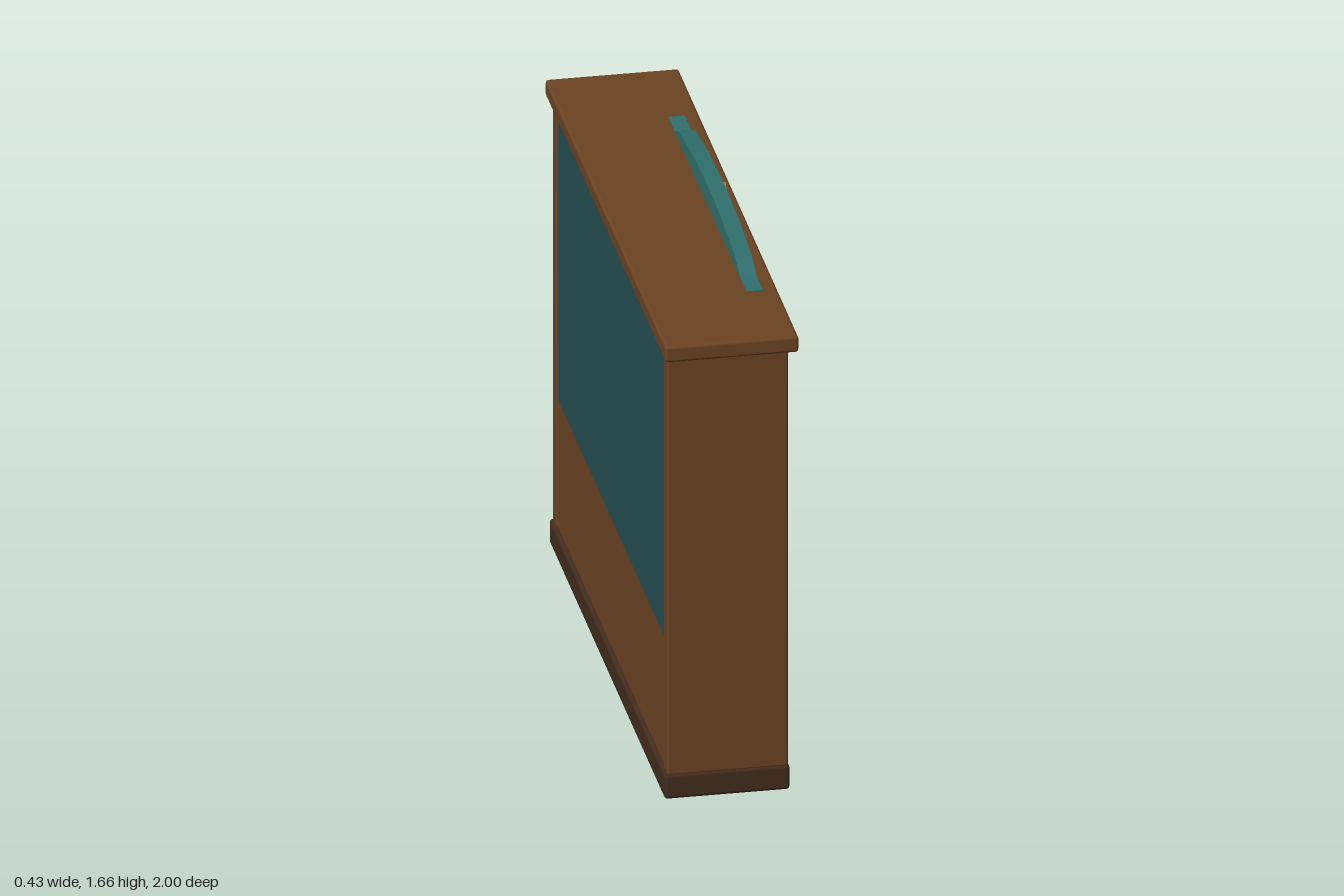
import * as THREE from 'three';
import { RoundedBoxGeometry } from 'three/addons/geometries/RoundedBoxGeometry.js';

const mat = (name, color) => {
  const m = new THREE.MeshStandardMaterial({ color });
  m.name = name;
  return m;
};

export function createModel() {
  const wood = mat('wood', 0x6b4423);
  const lightWood = mat('light wood', 0x8b5e34);
  const darkWood = mat('dark wood', 0x432c1d);
  const teal = mat('teal', 0x2f706d);
  const deepTeal = mat('deep teal', 0x244f52);
  const brass = mat('brass', 0xa9853b);

  const model = new THREE.Group();
  model.name = 'displayCabinet';

  const add = (name, geometry, material) => {
    const mesh = new THREE.Mesh(geometry, material);
    mesh.name = name;
    model.add(mesh);
    return mesh;
  };

  // Box given by its extents; a bevel radius above zero softens the edges
  const block = (name, material, [x0, x1], [y0, y1], [z0, z1], bevel = 0) => {
    const size = [x1 - x0, y1 - y0, z1 - z0];
    const geometry = bevel
      ? new RoundedBoxGeometry(...size, 2, bevel)
      : new THREE.BoxGeometry(...size);
    const mesh = add(name, geometry, material);
    mesh.position.set((x0 + x1) / 2, (y0 + y1) / 2, (z0 + z1) / 2);
    return mesh;
  };

  // Carcass: the open side faces +x
  block('plinth', darkWood, [-0.21, 0.19], [0, 0.085], [-0.96, 0.96], 0.012);
  block('topBoard', wood, [-0.215, 0.21], [1.53, 1.585], [-1, 1], 0.01);
  block('lowerCabinet', wood, [-0.195, 0.178], [0.08, 0.525], [-0.9, 0.9]);
  block('topRail', wood, [-0.195, 0.175], [1.49, 1.535], [-0.9, 0.9]);
  block('backPanel', deepTeal, [-0.195, -0.17], [0.52, 1.53], [-0.9, 0.9]);
  block('middleShelf', wood, [-0.175, 0.175], [1.025, 1.056], [-0.9, 0.9]);
  for (const s of [-1, 1]) {
    const z = s > 0 ? [0.893, 0.955] : [-0.955, -0.893];
    block('sidePanel', wood, [-0.2, 0.185], [0.08, 1.535], z, 0.008);
  }

  // Pale shelf surfaces
  for (const y of [0.525, 1.056])
    block('shelfSurface', lightWood, [-0.17, 0.174], [y, y + 0.005], [-0.893, 0.893]);

  // Doors and knobs
  for (const s of [-1, 1]) {
    const z = s > 0 ? [0.045, 0.845] : [-0.845, -0.045];
    block('door', lightWood, [0.165, 0.19], [0.13, 0.44], z, 0.008);
    block('doorKnob', brass, [0.185, 0.205], [0.27, 0.31],
      [s * 0.113 - 0.02, s * 0.113 + 0.02], 0.005);
  }

  // Tilted trays with a brass plate on the shelf edge below each one
  const trayRow = (shelfY, trayX, plateY, plateX, places) => {
    for (const z of places) {
      const tray = add('displayTray', new RoundedBoxGeometry(0.26, 0.042, 0.53, 2, 0.019), teal);
      tray.position.set(trayX, shelfY + 0.034, z);
      tray.rotation.z = -0.1;
      block('shelfPlate', brass, [plateX, plateX + 0.008], [plateY - 0.015, plateY + 0.015],
        [z - 0.072, z + 0.072]);
    }
  };
  trayRow(1.061, 0.02, 1.041, 0.174, [-0.59, 0, 0.59]);
  trayRow(0.53, 0.03, 0.503, 0.176, [-0.39, 0.39]);

  // Arched crest with flat feet, drawn in (z, y) and extruded along x
  const half = [[0.65, 1.588], [0.54, 1.588], [0.47, 1.62], [0.26, 1.645], [0.06, 1.654]];
  const outline = [[0.65, 1.58], ...half, ...half.map(([z, y]) => [-z, y]).reverse(), [-0.65, 1.58]];
  const alongX = (points, depth, x) => {
    const shape = new THREE.Shape(points.map(([z, y]) => new THREE.Vector2(-z, y)));
    const geometry = new THREE.ExtrudeGeometry(shape, { depth, bevelEnabled: false });
    return geometry.rotateY(Math.PI / 2).translate(x, 0, 0);
  };
  add('crest', alongX(outline, 0.053, 0.11), teal);

  // Four-pointed star on the crest
  const star = [];
  for (let i = 0; i < 8; i++) {
    const a = (i * Math.PI) / 4;
    const r = i % 2 ? 0.017 : i % 4 ? 0.04 : 0.052;
    star.push([Math.cos(a) * r, 1.62 + Math.sin(a) * r]);
  }
  add('crestStar', alongX(star, 0.008, 0.161), brass);

  return model;
}
